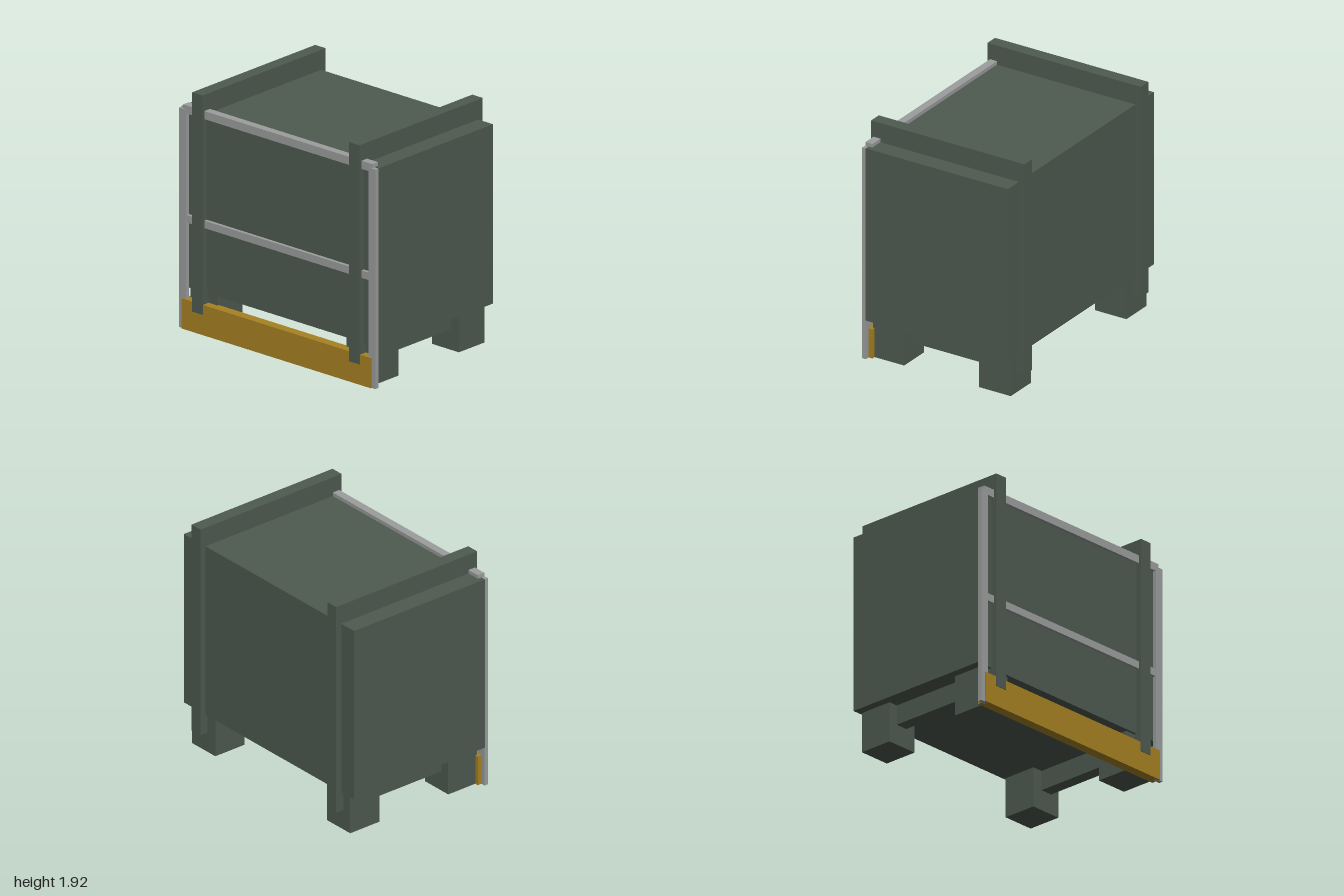
import * as THREE from 'three';

export function createModel() {
  const model = new THREE.Group();
  model.name = 'crate';

  const mat = (name, color) => {
    const m = new THREE.MeshStandardMaterial({ color });
    m.name = name;
    return m;
  };
  const green = mat('dark green paint', 0x4e5a50);
  const grey = mat('grey trim', 0x9c9e9e);
  const ochre = mat('ochre board', 0xa78223);

  // Box given by its lower and upper corners
  const block = (name, material, [x0, y0, z0], [x1, y1, z1]) => {
    const mesh = new THREE.Mesh(new THREE.BoxGeometry(x1 - x0, y1 - y0, z1 - z0), material);
    mesh.position.set((x0 + x1) / 2, (y0 + y1) / 2, (z0 + z1) / 2);
    mesh.name = name;
    model.add(mesh);
  };

  // Main container
  block('body', green, [-1, 0.325, -0.64], [1, 1.765, 0.64]);

  // Front rails and kick board
  block('topRail', grey, [-0.96, 1.73, 0.605], [0.96, 1.795, 0.668]);
  block('middleRail', grey, [-0.96, 0.855, 0.605], [0.96, 0.915, 0.668]);
  block('kickBoard', ochre, [-0.96, 0, 0.605], [0.96, 0.243, 0.685]);

  // Mirrored parts on both sides
  for (const side of [-1, 1]) {
    const label = side > 0 ? 'left' : 'right';
    const mirrored = (name, material, x0, x1, y0, y1, z0, z1) =>
      block(label + name, material,
        [Math.min(side * x0, side * x1), y0, z0], [Math.max(side * x0, side * x1), y1, z1]);

    mirrored('FrontPost', grey, 0.927, 0.997, 0, 1.762, 0.64, 0.674);
    // Band running around the body and under it between the feet
    mirrored('Strap', green, 0.745, 0.85, 0.165, 1.925, -0.69, 0.69);
    mirrored('FrontFoot', green, 0.655, 0.93, 0, 0.325, 0.34, 0.62);
    mirrored('BackFoot', green, 0.655, 0.93, 0, 0.325, -0.62, -0.335);
  }

  return model;
}
